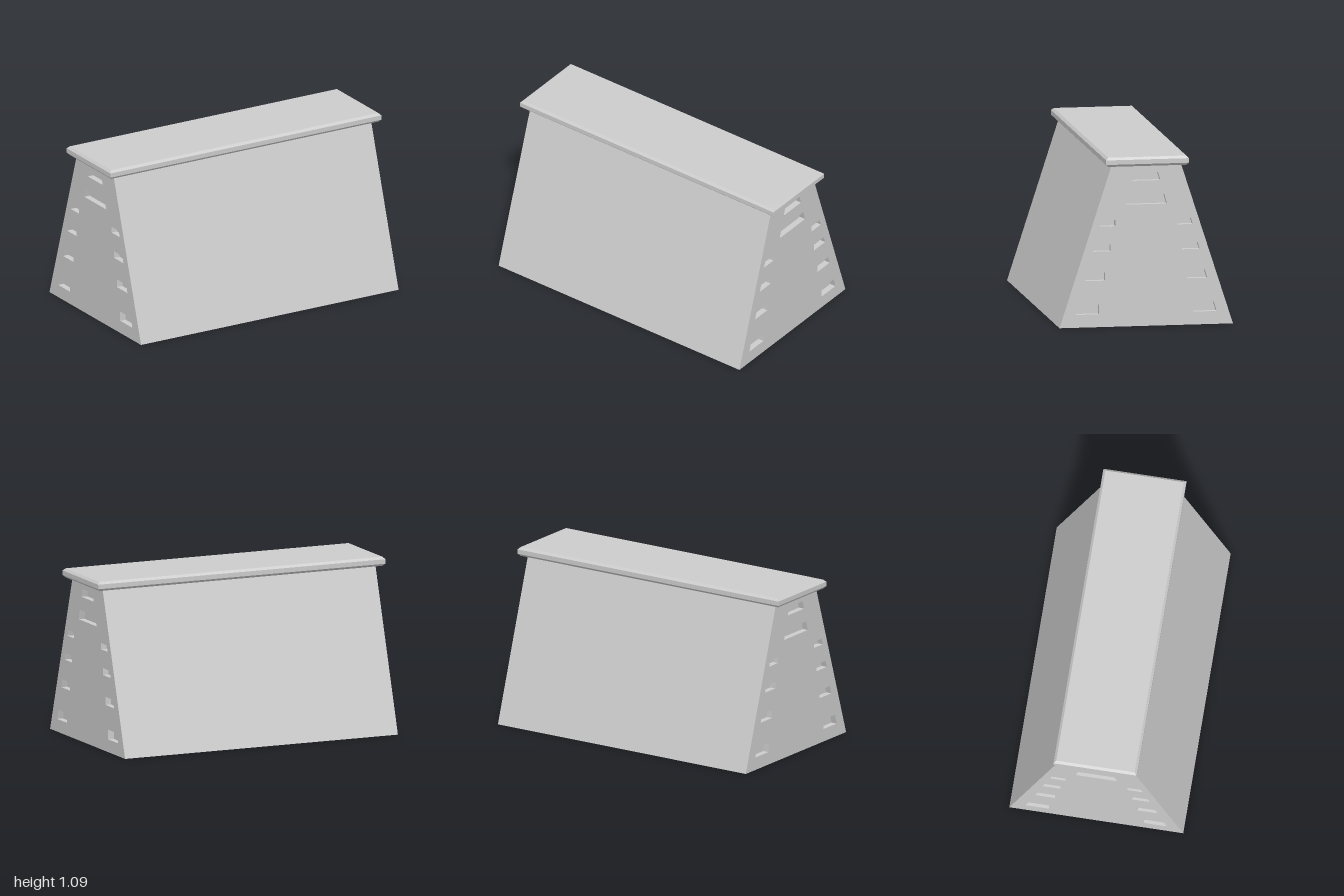
import * as THREE from 'three';
import { mergeGeometries } from 'three/addons/utils/BufferGeometryUtils.js';

const HALF_LENGTH = 0.95, BODY_TOP = 1.03, RECESS = 0.04;
const material = new THREE.MeshStandardMaterial({ color: 0xcccccc, flatShading: true });

function add(parent, name, geometry) {
  const mesh = new THREE.Mesh(geometry, material);
  mesh.name = name;
  parent.add(mesh);
  return mesh;
}

const points = (list) => list.map(([x, y]) => new THREE.Vector2(x, y));

// Walls along a closed outline; they face outward if it runs counter-clockwise
function walls(outline, z0, z1) {
  const pos = [];
  outline.forEach((a, i) => {
    const b = outline[(i + 1) % outline.length];
    pos.push(a.x, a.y, z0, b.x, b.y, z0, b.x, b.y, z1);
    pos.push(a.x, a.y, z0, b.x, b.y, z1, a.x, a.y, z1);
  });
  const g = new THREE.BufferGeometry();
  g.setAttribute('position', new THREE.Float32BufferAttribute(pos, 3));
  g.computeVertexNormals();
  return g;
}

// Tapered cross-section of the body
const section = points([[-0.555, 0], [0.555, 0], [0.222, BODY_TOP], [-0.222, BODY_TOP]]);

// Recess outlines, counter-clockwise
function recessOutlines() {
  const list = [];
  // Wide centre grips: bottom y, top y, bottom half width, top half width
  for (const [y0, y1, b, t] of [[0.928, 0.98, 0.09, 0.075], [0.777, 0.84, 0.132, 0.115]])
    list.push(points([[-b, y0], [b, y0], [t, y1], [-t, y1]]));
  // Paired side grips: bottom y, top y, inner edge, outer bottom, outer top
  for (const [y0, y1, inner, b, t] of [
    [0.642, 0.682, 0.198, 0.297, 0.285],
    [0.482, 0.526, 0.228, 0.342, 0.328],
    [0.296, 0.348, 0.263, 0.39, 0.375],
    [0.082, 0.144, 0.303, 0.45, 0.432],
  ]) {
    list.push(points([[inner, y0], [b, y0], [t, y1], [inner, y1]]));
    list.push(points([[-b, y0], [-inner, y0], [-inner, y1], [-t, y1]]));
  }
  return list;
}

// End panel with its recessed grips, facing local +z
function createEnd(name) {
  const end = new THREE.Group();
  end.name = name;
  const outlines = recessOutlines();
  const panel = new THREE.Shape(section);
  panel.holes = outlines.map((o) => new THREE.Path([...o].reverse()));
  add(end, 'endPanel', new THREE.ShapeGeometry(panel).translate(0, 0, HALF_LENGTH));
  const depth = HALF_LENGTH - RECESS;
  add(end, 'gripWalls', mergeGeometries(
    outlines.map((o) => walls([...o].reverse(), depth, HALF_LENGTH))));
  add(end, 'gripFloors', mergeGeometries(
    outlines.map((o) => new THREE.ShapeGeometry(new THREE.Shape(o)).translate(0, 0, depth))));
  return end;
}

export function createModel() {
  const model = new THREE.Group();
  model.name = 'vaultingBox';

  // Sloping sides, base and top of the body
  add(model, 'body', walls(section, -HALF_LENGTH, HALF_LENGTH).rotateY(Math.PI / 2));

  // Matching ends
  for (const side of [1, -1]) {
    const end = createEnd(side > 0 ? 'leftEnd' : 'rightEnd');
    end.rotation.y = side * Math.PI / 2;
    model.add(end);
  }

  // Overhanging top board with chamfered edges
  const c = 0.015, x = 1 - c, z = 0.265 - c;
  const board = new THREE.ExtrudeGeometry(
    new THREE.Shape(points([[-x, -z], [x, -z], [x, z], [-x, z]])),
    { depth: 0.029, bevelEnabled: true, bevelSize: c, bevelThickness: c, bevelSegments: 1 });
  board.rotateX(-Math.PI / 2).translate(0, 1.027 + c, 0);
  add(model, 'topBoard', board);

  return model;
}
